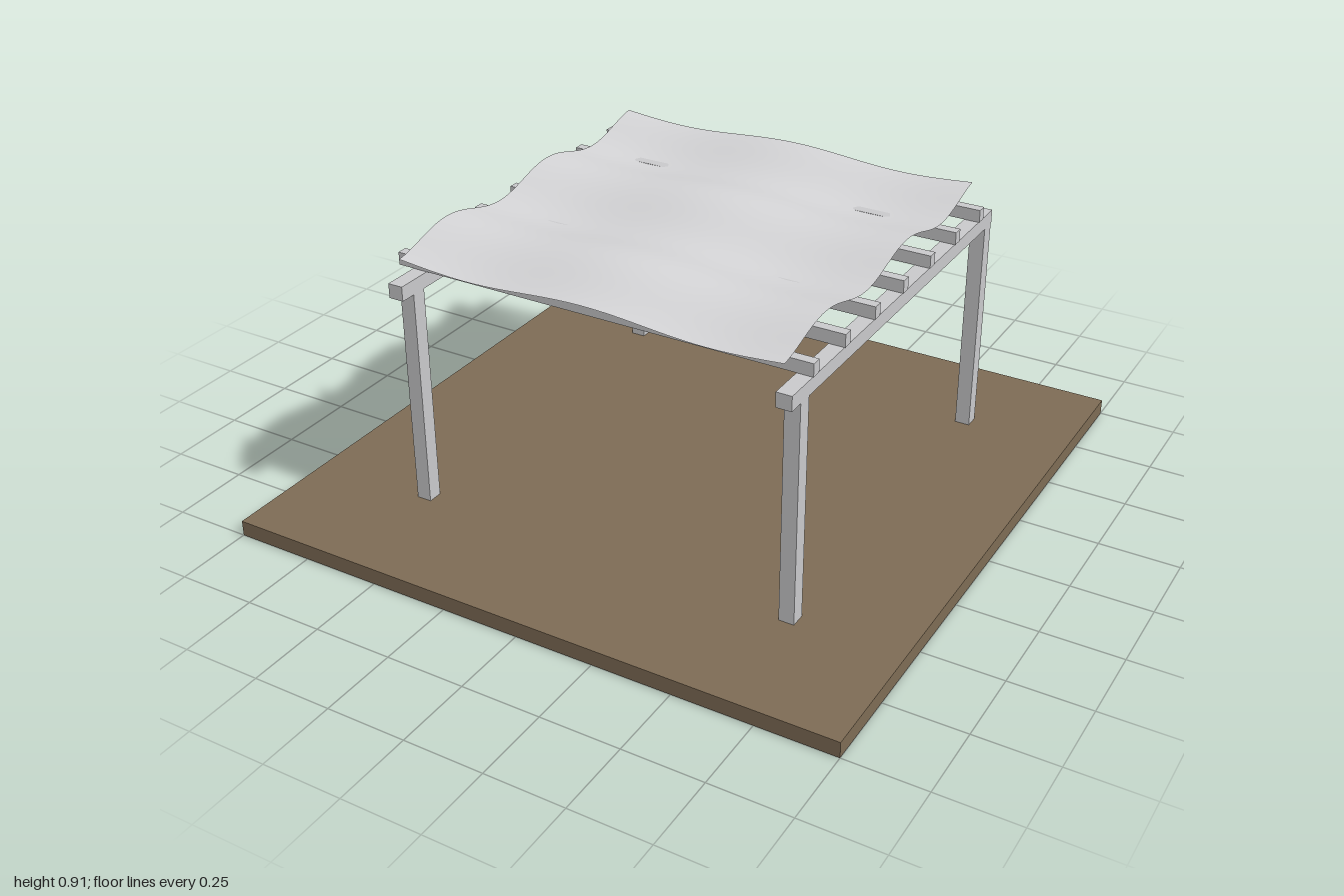
import * as THREE from 'three';

const groundBrown = new THREE.MeshStandardMaterial({ color: 0x7d6b54 });
groundBrown.name = 'groundBrown';
const frameGrey = new THREE.MeshStandardMaterial({ color: 0xc8c8ca });
frameGrey.name = 'frameGrey';
const clothGrey = new THREE.MeshStandardMaterial({ color: 0xd4d4d6, side: THREE.DoubleSide });
clothGrey.name = 'clothGrey';

// Box given by its size, centre and bottom height
function box(name, material, [w, h, d], x, bottom, z) {
  const mesh = new THREE.Mesh(new THREE.BoxGeometry(w, h, d), material);
  mesh.name = name;
  mesh.position.set(x, bottom + h / 2, z);
  return mesh;
}

export function createModel() {
  const model = new THREE.Group();
  model.name = 'pergola';

  // Ground slab
  model.add(box('ground', groundBrown, [2, 0.05, 2], 0, 0, 0));

  // Posts, with a beam along z over each pair
  for (const x of [-0.601, 0.65]) {
    for (const z of [0.602, -0.648]) {
      model.add(box('post', frameGrey, [0.048, 0.705, 0.048], x, 0.05, z));
    }
    model.add(box('beam', frameGrey, [0.048, 0.046, 1.352], x, 0.755, 0));
  }

  // Rafters across the beams
  for (let i = 0; i < 7; i++) {
    model.add(box('rafter', frameGrey, [1.352, 0.04, 0.032], 0, 0.801, 0.544 - i * 0.1875));
  }

  // Wavy cloth canopy
  const cloth = new THREE.PlaneGeometry(1.245, 1.245, 48, 64);
  cloth.rotateX(-Math.PI / 2);
  const p = cloth.attributes.position;
  for (let i = 0; i < p.count; i++) {
    p.setY(i, 0.876 - 0.025 * Math.sin(12 * p.getZ(i)) + 0.0115 * Math.cos(8 * p.getX(i)));
  }
  cloth.computeVertexNormals();
  const canopy = new THREE.Mesh(cloth, clothGrey);
  canopy.name = 'canopy';
  model.add(canopy);

  return model;
}
